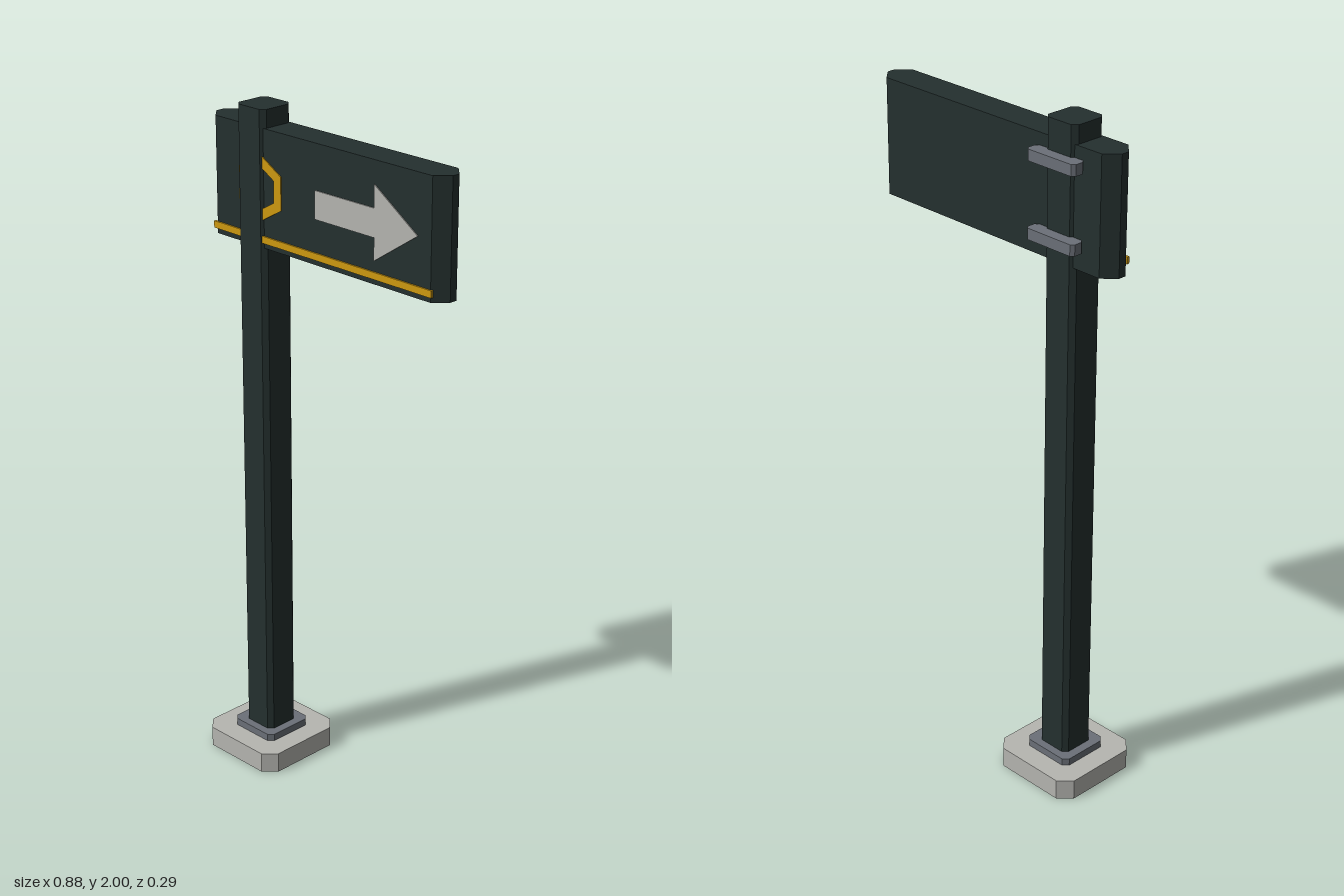
import * as THREE from 'three';

const material = (name, color) => {
  const m = new THREE.MeshStandardMaterial({ color });
  m.name = name;
  return m;
};

// Outline of a rectangle with cut corners
function cutRect(w, h, cx, cy = cx) {
  const x = w / 2, y = h / 2;
  return [[x - cx, -y], [x, -y + cy], [x, y - cy], [x - cx, y],
    [-x + cx, y], [-x, y - cy], [-x, -y + cy], [-x + cx, -y]];
}

const toShape = (pts) => new THREE.Shape(pts.map(([x, y]) => new THREE.Vector2(x, y)));

export function createModel() {
  const group = new THREE.Group();
  const green = material('dark green', 0x24302f);
  const pale = material('pale grey', 0xb6b6b1);
  const steel = material('steel grey', 0x6b7078);
  const yellow = material('amber yellow', 0xcf9a10);

  const add = (name, geometry, mat, x, y, z) => {
    const mesh = new THREE.Mesh(geometry, mat);
    mesh.name = name;
    mesh.position.set(x, y, z);
    group.add(mesh);
    return mesh;
  };
  // Upright prism with cut vertical edges, standing on y
  const prism = (name, mat, w, d, cx, cz, y0, y1, x, z = 0) => {
    const g = new THREE.ExtrudeGeometry(toShape(cutRect(w, d, cx, cz)), { depth: y1 - y0, bevelEnabled: false });
    g.rotateX(-Math.PI / 2);
    return add(name, g, mat, x, y0, z);
  };
  // Thin plate facing the front
  const plate = (name, shape, mat, x, y, z) =>
    add(name, new THREE.ExtrudeGeometry(shape, { depth: 0.004, bevelEnabled: false }), mat, x, y, z);

  const postX = -0.264;
  prism('base', pale, 0.29, 0.29, 0.036, 0.036, 0, 0.062, postX);
  prism('collar', steel, 0.164, 0.16, 0.015, 0.015, 0.062, 0.084, postX);
  prism('post', green, 0.11, 0.11, 0.014, 0.014, 0.084, 2, postX);
  prism('signPanel', green, 0.884, 0.096, 0.036, 0.036, 1.61, 1.948, 0);

  // Clamps behind the post
  for (const y of [1.68, 1.897]) {
    prism('clamp', steel, 0.172, 0.042, 0.009, 0.009, y - 0.016, y + 0.016, postX, -0.069);
  }

  // Stripe along the lower edge
  add('stripe', new THREE.BoxGeometry(0.828, 0.02, 0.008), yellow, -0.002, 1.635, 0.049);

  // Hexagonal ring, partly behind the post
  const hexagon = (r) => Array.from({ length: 6 }, (_, i) => {
    const a = Math.PI / 6 + i * Math.PI / 3;
    return [r * Math.cos(a), r * Math.sin(a)];
  });
  const ring = toShape(hexagon(0.095));
  ring.holes.push(toShape(hexagon(0.062)));
  plate('hexagonRing', ring, yellow, -0.228, 1.78, 0.047);

  // Direction arrow
  const arrow = toShape([[-0.015, -0.04], [0.205, -0.04], [0.205, -0.104], [0.36, 0],
    [0.205, 0.104], [0.205, 0.04], [-0.015, 0.04]]);
  plate('arrow', arrow, pale, 0, 1.779, 0.047);

  return group;
}
